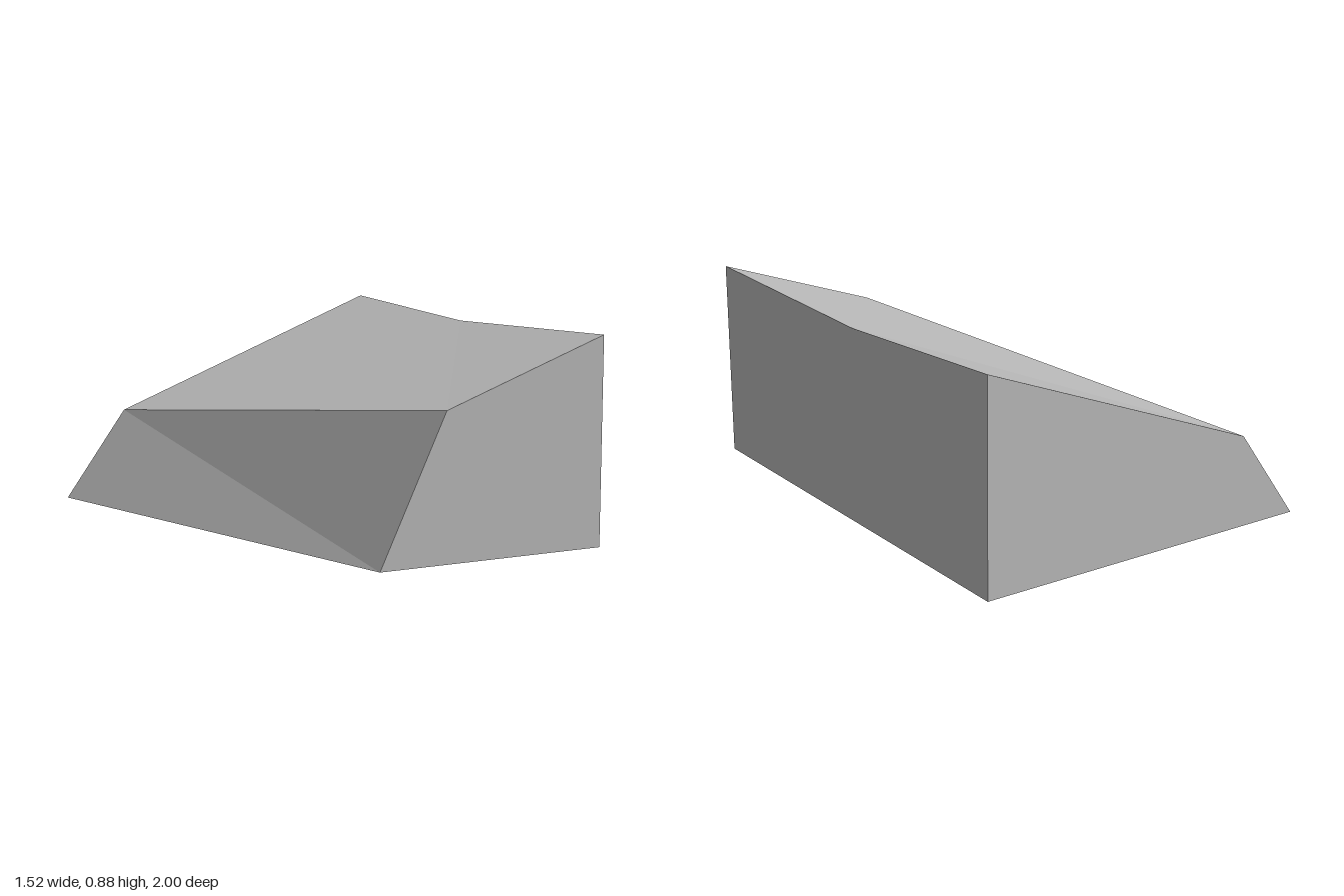
import * as THREE from 'three';

// Corners of the wedge block
const base = {
  backRight: [-0.76, 0, -1],
  frontRight: [-0.24, 0, 1],
  frontLeft: [0.76, 0, 1],
  backLeft: [0.76, 0, -1],
};
const top = {
  backRight: [-0.48, 0.388, -1],
  frontRight: [0.045, 0.593, 1],
  frontLeft: [0.76, 0.849, 1],
  middleLeft: [0.76, 0.823, -0.07],
  backLeft: [0.76, 0.875, -1],
};

export function createModel() {
  const group = new THREE.Group();
  group.name = 'wedgeBlock';
  const grey = new THREE.MeshStandardMaterial({ color: 0xb8b8b8, flatShading: true });
  grey.name = 'plain grey';

  // Each polygon is a counter-clockwise fan around its first corner
  function addPanel(name, ...polygons) {
    const points = [];
    for (const p of polygons) {
      for (let i = 1; i < p.length - 1; i++) points.push(...p[0], ...p[i], ...p[i + 1]);
    }
    const geometry = new THREE.BufferGeometry();
    geometry.setAttribute('position', new THREE.Float32BufferAttribute(points, 3));
    geometry.computeVertexNormals();
    const mesh = new THREE.Mesh(geometry, grey);
    mesh.name = name;
    group.add(mesh);
  }

  addPanel('underside', [base.backRight, base.backLeft, base.frontLeft, base.frontRight]);
  addPanel('frontWall', [base.frontRight, base.frontLeft, top.frontLeft, top.frontRight]);
  addPanel('backWall', [base.backLeft, base.backRight, top.backRight, top.backLeft]);

  // Upright wall with a shallow dip along its upper edge
  addPanel('leftWall', [top.middleLeft, top.frontLeft, base.frontLeft, base.backLeft, top.backLeft]);

  // Leaning side, folded along its diagonal
  addPanel('slopedSide',
    [base.backRight, base.frontRight, top.backRight],
    [base.frontRight, top.frontRight, top.backRight]);

  // Roof facets meeting at the dip
  addPanel('roof',
    [top.backRight, top.frontRight, top.middleLeft],
    [top.frontRight, top.frontLeft, top.middleLeft],
    [top.backRight, top.middleLeft, top.backLeft]);

  return group;
}
